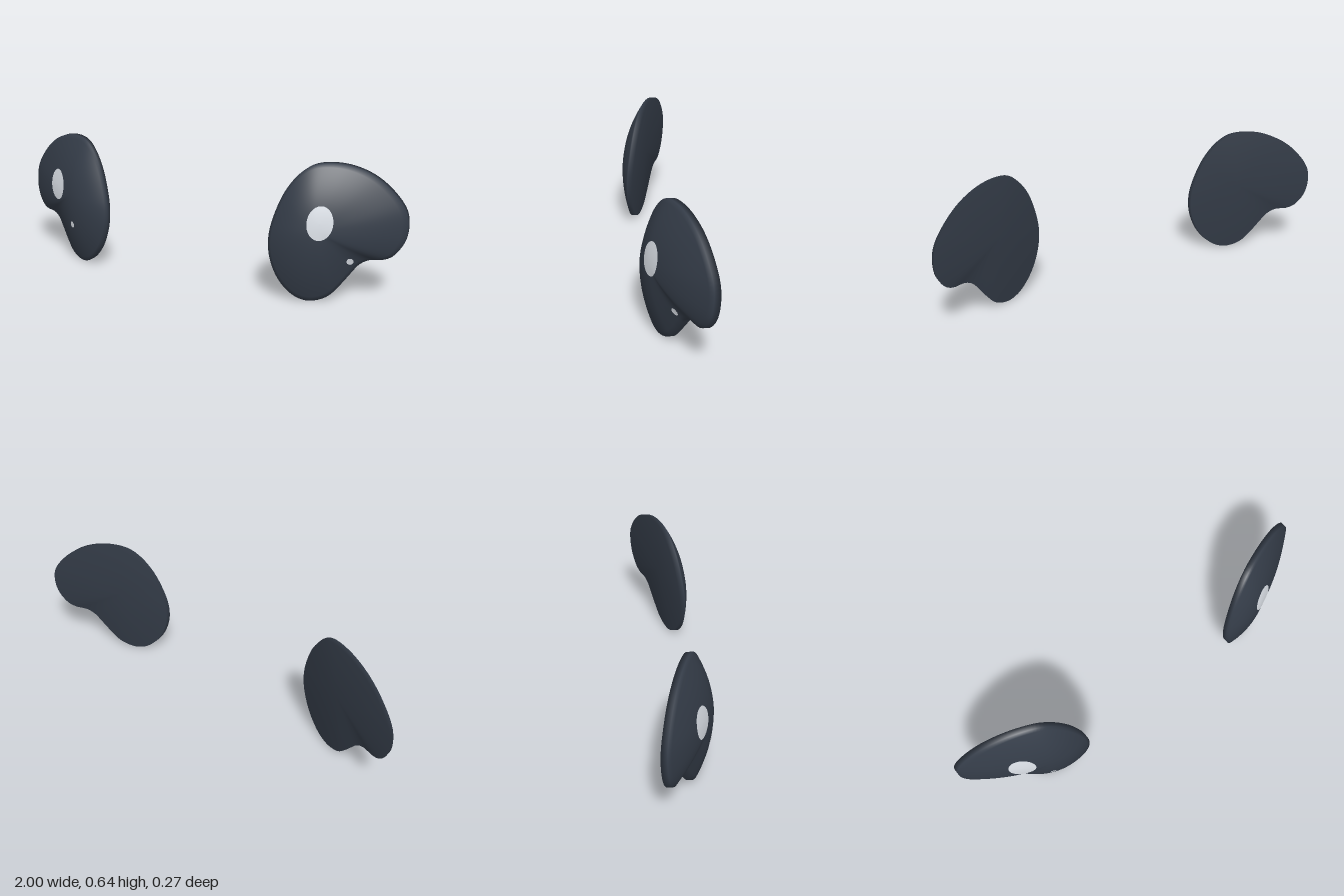
import * as THREE from 'three';
import { mergeVertices } from 'three/addons/utils/BufferGeometryUtils.js';

// bean outline of one eye, counter-clockwise seen from the front
const OUTLINE = [
  [1, .353], [.987, .428], [.933, .508], [.848, .583], [.751, .626], [.663, .637],
  [.596, .626], [.543, .588], [.489, .513], [.447, .406], [.426, .30], [.435, .198],
  [.480, .091], [.550, .019], [.615, 0], [.687, .023], [.735, .075], [.773, .128],
  [.815, .182], [.858, .203], [.90, .203], [.944, .219], [.987, .278],
];
const CX = .65, CY = .35;            // centre the rings shrink towards
const HALF = .0135, BULGE = .082;    // half the rim's thickness, height of the dome

const rim = new THREE.CatmullRomCurve3(
  OUTLINE.map(([x, y]) => new THREE.Vector3(x - CX, y - CY, 0)), true).getPoints(184);

// distance from the centre to the outline in a direction
function radius(angle) {
  const c = Math.cos(angle), s = Math.sin(angle);
  for (let i = 0; i < rim.length - 1; i++) {
    const p = rim[i], q = rim[i + 1];
    const u = c * p.y - s * p.x, v = c * q.y - s * q.x;
    if (u <= 0 && v > 0) {
      const k = u / (u - v);
      const r = c * (p.x + (q.x - p.x) * k) + s * (p.y + (q.y - p.y) * k);
      if (r > 0) return r;
    }
  }
  return .3;
}

// slanted plane through the middle of the rim
const plane = (x, y) => .11 - .38 * (x - .425) - .07 * (y - .257);

// front height above that plane, t = 0 at the centre and 1 at the rim
const dome = (t) => HALF + BULGE * (1 - t * t);

function frontZ(x, y) {
  const dx = x - CX, dy = y - CY;
  const t = Math.hypot(dx, dy) / radius(Math.atan2(dy, dx));
  return plane(x, y) + dome(t);
}

// mirrors a geometry in x, keeping its faces outward
function sided(geo, side) {
  if (side < 0) {
    geo.scale(-1, 1, 1);
    const a = geo.index.array;
    for (let i = 0; i < a.length; i += 3) [a[i], a[i + 1]] = [a[i + 1], a[i]];
  }
  geo.computeVertexNormals();
  return geo;
}

// body: flat back fan, upright rim, then rings up to the front centre
function bodyGeometry(side) {
  const N = 120, RINGS = 16, pos = [], idx = [];
  const rings = [[0, -HALF], [1, -HALF]];
  for (let k = RINGS; k >= 0; k--) rings.push([k / RINGS, dome(k / RINGS)]);
  const last = rings.length - 1;
  rings.forEach(([t, h], j) => {
    for (let i = 0; i < N; i++) {
      const a = i / N * Math.PI * 2, r = radius(a) * t;
      const x = CX + r * Math.cos(a), y = CY + r * Math.sin(a);
      pos.push(x, y, plane(x, y) + h);
      if (j === last) continue;
      const p = j * N + i, q = j * N + (i + 1) % N;
      if (j > 0) idx.push(p, q, p + N);
      if (j < last - 1) idx.push(q, q + N, p + N);
    }
  });
  const geo = new THREE.BufferGeometry();
  geo.setAttribute('position', new THREE.Float32BufferAttribute(pos, 3));
  geo.setIndex(idx);
  return sided(mergeVertices(geo, 1e-5), side);
}

// thin oval resting on the front of the dome
function glintGeometry(cx, cy, rx, ry, side) {
  const geo = new THREE.RingGeometry(0, 1, 32, 5);
  geo.scale(rx, ry, 1).translate(cx, cy, 0);
  const p = geo.attributes.position;
  for (let i = 0; i < p.count; i++) p.setZ(i, frontZ(p.getX(i), p.getY(i)) + .003);
  return sided(geo, side);
}

export function createModel() {
  const dark = new THREE.MeshStandardMaterial({ color: 0x343c48 });
  dark.name = 'dark slate';
  const pale = new THREE.MeshStandardMaterial({ color: 0xdfe4eb });
  pale.name = 'pale glint';

  const model = new THREE.Group();
  model.name = 'eyes';
  for (const side of [1, -1]) {
    const eye = new THREE.Group();
    eye.name = side > 0 ? 'leftEye' : 'rightEye';
    const add = (name, geo, mat) => {
      const mesh = new THREE.Mesh(geo, mat);
      mesh.name = name;
      eye.add(mesh);
    };
    add('eyeBody', bodyGeometry(side), dark);
    // glints sit towards the same side of both eyes
    add('largeGlint', glintGeometry(side > 0 ? .66 : .755, .385, .055, .077, side), pale);
    add('smallGlint', glintGeometry(side > 0 ? .78 : .64, .2, .013, .016, side), pale);
    model.add(eye);
  }
  return model;
}
